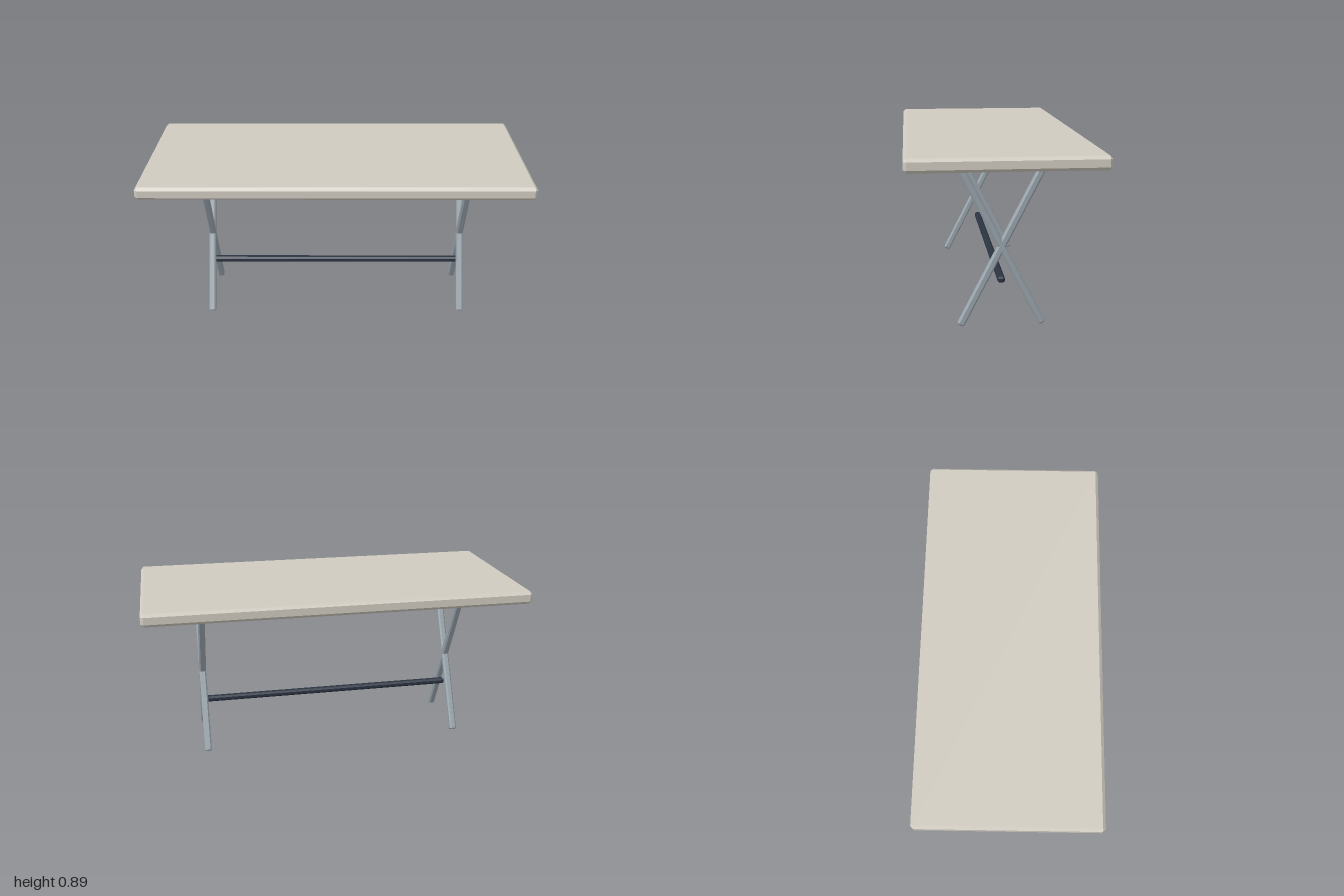
import * as THREE from 'three';
import { ConvexGeometry } from 'three/addons/geometries/ConvexGeometry.js';

// Box with every edge cut at 45 degrees: the hull of its six inset faces
function chamferBox(w, h, d, c) {
  const half = [w / 2, h / 2, d / 2];
  const points = [];
  for (const sx of [-1, 1]) for (const sy of [-1, 1]) for (const sz of [-1, 1]) {
    for (let axis = 0; axis < 3; axis++) {
      const p = [sx, sy, sz].map((s, i) => s * (half[i] - (i === axis ? 0 : c)));
      points.push(new THREE.Vector3(...p));
    }
  }
  return new ConvexGeometry(points);
}

function part(name, geometry, color) {
  const mesh = new THREE.Mesh(geometry, new THREE.MeshStandardMaterial({ color, flatShading: true }));
  mesh.name = name;
  return mesh;
}

export function createModel() {
  const table = new THREE.Group();
  table.name = 'foldingTable';

  // Table top, floating just above the legs
  const top = part('tableTop', chamferBox(2, 0.067, 0.934, 0.015), 0xd0cbc0);
  top.position.y = 0.8535;
  table.add(top);

  // A crossed pair of legs at each end
  const legGeometry = chamferBox(0.036, 0.893, 0.036, 0.0075);
  for (const side of [-1, 1]) {
    const pair = new THREE.Group();
    pair.name = side > 0 ? 'leftLegs' : 'rightLegs';
    pair.position.set(side * 0.7, 0.4015, 0);
    for (const tilt of [-1, 1]) {
      const leg = part(tilt > 0 ? 'legTiltedForward' : 'legTiltedBack', legGeometry, 0x9aa5ad);
      leg.rotation.x = tilt * THREE.MathUtils.degToRad(27.1);
      pair.add(leg);
    }
    table.add(pair);
  }

  // Stretcher bar between the leg pairs
  const bar = part('stretcherBar', chamferBox(1.4, 0.031, 0.036, 0.009), 0x2b3442);
  bar.position.y = 0.2285;
  table.add(bar);

  return table;
}
